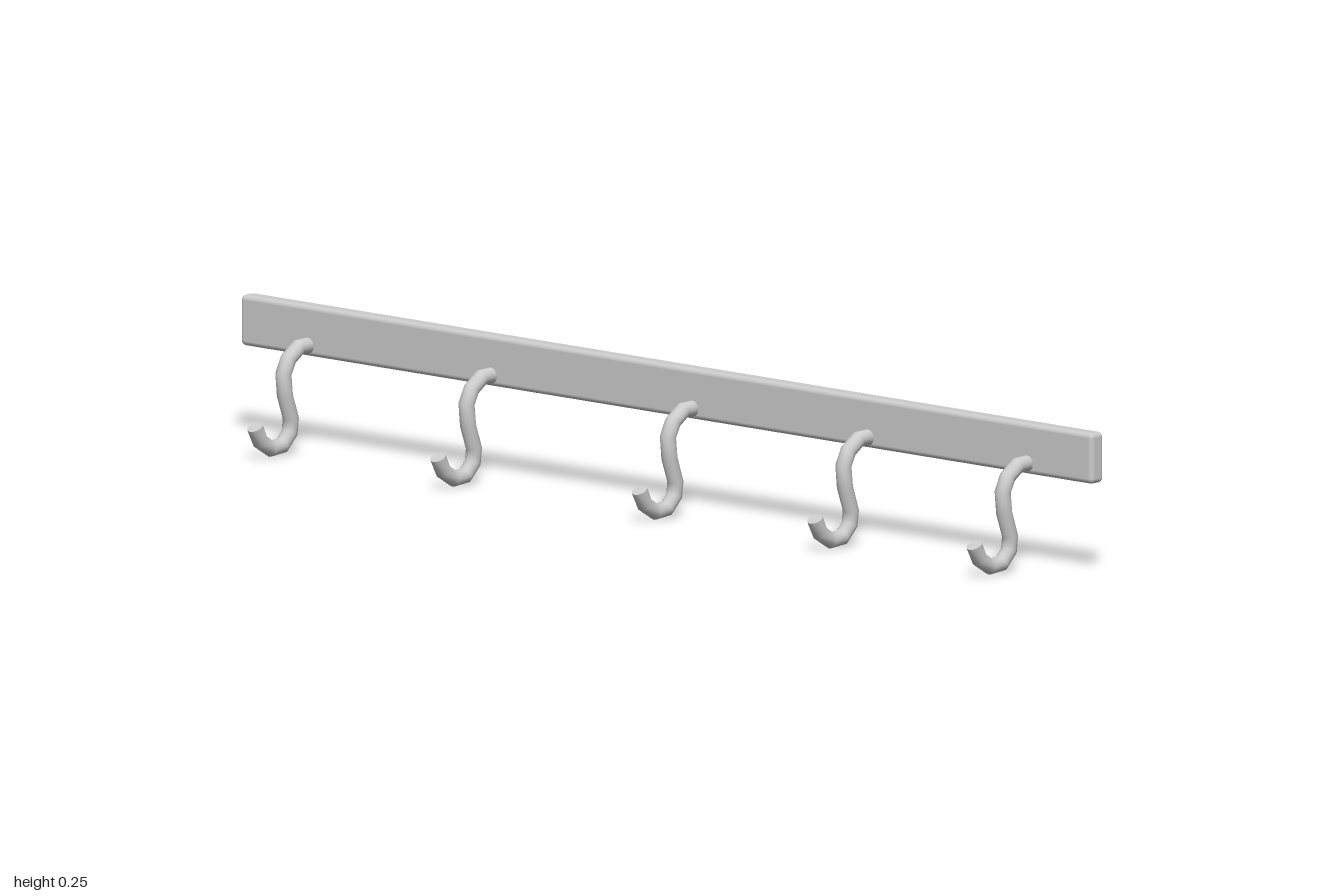
import * as THREE from 'three';
import { RoundedBoxGeometry } from 'three/addons/geometries/RoundedBoxGeometry.js';

const RADIUS = 0.0145;
const SIDES = 12;

// Centre line of one hook as [z, y], from the rail down to the tip
const HOOK_PATH = [
  [-0.057, 0.185], [-0.033, 0.185], [-0.007, 0.168], [0.006, 0.143],
  [0.002, 0.105], [-0.0135, 0.062], [-0.010, 0.037], [0.010, 0.0175],
  [0.039, 0.0155], [0.066, 0.032], [0.080, 0.059],
];

// Round bar swept along a faceted path, smooth around, with flat ends
function hookGeometry() {
  const positions = [];
  const indices = [];
  const last = HOOK_PATH.length - 1;
  const direction = (i, k) => new THREE.Vector2(
    HOOK_PATH[k][0] - HOOK_PATH[i][0], HOOK_PATH[k][1] - HOOK_PATH[i][1]).normalize();

  const addRing = (i) => {
    const start = positions.length / 3;
    const t = new THREE.Vector2();
    if (i > 0) t.add(direction(i - 1, i));
    if (i < last) t.add(direction(i, i + 1));
    t.normalize();
    const [z, y] = HOOK_PATH[i];
    for (let j = 0; j < SIDES; j++) {
      const a = (j / SIDES) * Math.PI * 2;
      const s = Math.sin(a) * RADIUS;
      positions.push(Math.cos(a) * RADIUS, y + s * t.x, z - s * t.y);
    }
    return start;
  };

  // Side wall
  for (let i = 0; i <= last; i++) addRing(i);
  for (let i = 0; i < last; i++) {
    for (let j = 0; j < SIDES; j++) {
      const k = (j + 1) % SIDES;
      const a = i * SIDES + j, b = i * SIDES + k;
      indices.push(a, b, a + SIDES, b, b + SIDES, a + SIDES);
    }
  }

  // End caps on their own vertices, so the rims stay sharp
  for (const i of [0, last]) {
    const s = addRing(i);
    for (let j = 1; j < SIDES - 1; j++) {
      if (i === 0) indices.push(s, s + j + 1, s + j);
      else indices.push(s, s + j, s + j + 1);
    }
  }

  const geometry = new THREE.BufferGeometry();
  geometry.setAttribute('position', new THREE.Float32BufferAttribute(positions, 3));
  geometry.setIndex(indices);
  geometry.computeVertexNormals();
  return geometry;
}

export function createModel() {
  const model = new THREE.Group();
  model.name = 'hookRail';
  const material = new THREE.MeshStandardMaterial({ color: 0xcccccc });

  // Long wall rail with softened edges
  const rail = new THREE.Mesh(new RoundedBoxGeometry(2, 0.09, 0.033, 3, 0.009), material);
  rail.name = 'rail';
  rail.position.set(0, 0.21, -0.0765);
  model.add(rail);

  // Unevenly spaced hooks
  const geometry = hookGeometry();
  [-0.838, -0.408, 0.065, 0.477, 0.851].forEach((x, i) => {
    const hook = new THREE.Mesh(geometry, material);
    hook.name = `hook${i + 1}`;
    hook.position.x = x;
    model.add(hook);
  });

  return model;
}
